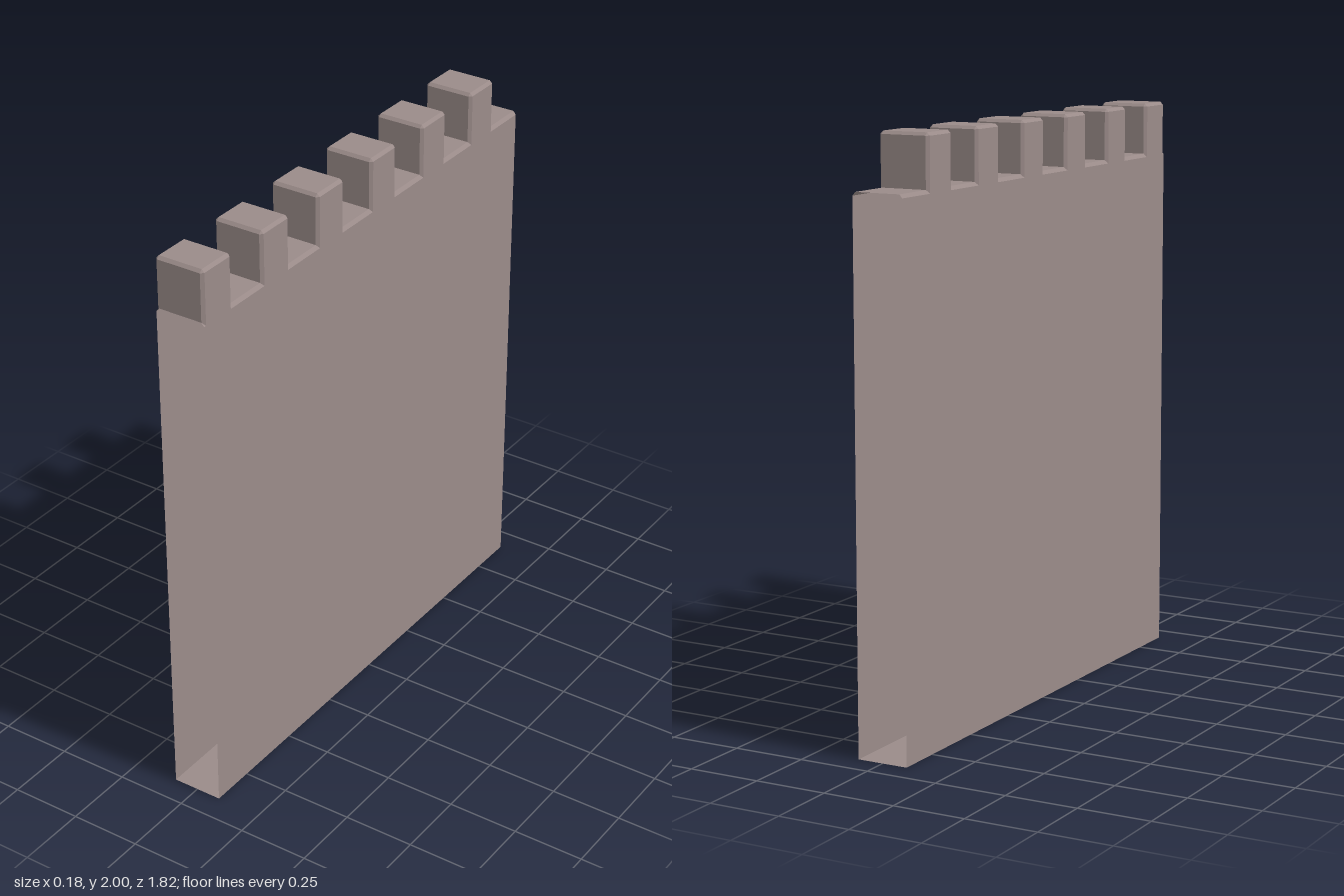
import * as THREE from 'three';

const END = 0.909;      // half length of the wall
const SIDE = 0.09;      // half thickness
const BEVEL = 0.01;
const TOP = 2, FLOOR = 1.822, DROP = 0.012;
const COUNT = 6, PITCH = 0.303, WIDTH = 0.146;

// Crenellated edge from front to back: [z, y] of the crest and of the inset wall edge
function crenellation() {
  const crest = [[END, FLOOR]], edge = [[END, FLOOR - DROP]];
  const add = (z, y, ez, ey) => { crest.push([z, y]); edge.push([ez, ey]); };
  for (let i = 0; i < COUNT; i++) {
    const f = END - i * PITCH, b = f - WIDTH;
    const fi = f - BEVEL, bi = b + BEVEL, ti = TOP - BEVEL;
    add(f, FLOOR, fi, FLOOR - DROP);
    add(f, ti, fi, ti);
    add(fi, TOP, fi, ti);
    add(bi, TOP, bi, ti);
    add(b, ti, bi, ti);
    add(b, FLOOR, bi, FLOOR - DROP);
  }
  add(-END, FLOOR, -END, FLOOR - DROP);
  return { crest, edge };
}

// Bevelled strip that runs over the merlons and gaps
function battlementGeometry({ crest, edge }) {
  const pos = [];
  const rows = crest.map(([z, y], i) => {
    const [ez, ey] = edge[i];
    return [
      [-SIDE, ey, ez], [-SIDE + BEVEL, y, z], [SIDE - BEVEL, y, z], [SIDE, ey, ez],
    ];
  });
  for (let i = 0; i < rows.length - 1; i++) {
    for (let j = 0; j < 3; j++) {
      const a = rows[i][j], b = rows[i][j + 1], c = rows[i + 1][j + 1], d = rows[i + 1][j];
      pos.push(...a, ...b, ...c, ...a, ...c, ...d);
    }
  }
  const geo = new THREE.BufferGeometry();
  geo.setAttribute('position', new THREE.Float32BufferAttribute(pos, 3));
  geo.computeVertexNormals();
  return geo;
}

// Flat wall face with the crenellated top edge, on side s = 1 or -1
function wallGeometry(edge, s) {
  const pts = [[END, 0], ...edge, [-END, 0]].filter(
    (p, i, all) => i === 0 || p[0] !== all[i - 1][0] || p[1] !== all[i - 1][1]);
  const shape = new THREE.Shape(pts.map(([z, y]) => new THREE.Vector2(-s * z, y)));
  return new THREE.ShapeGeometry(shape).rotateY(s * Math.PI / 2).translate(s * SIDE, 0, 0);
}

export function createModel() {
  const group = new THREE.Group();
  group.name = 'castleWall';
  const stone = new THREE.MeshStandardMaterial({
    color: 0x9a8b89, flatShading: true, side: THREE.DoubleSide,
  });
  const add = (name, geo) => {
    const mesh = new THREE.Mesh(geo, stone);
    mesh.name = name;
    group.add(mesh);
  };
  const profile = crenellation();

  // Two wall faces; the ends between them stay open
  add('leftWall', wallGeometry(profile.edge, 1));
  add('rightWall', wallGeometry(profile.edge, -1));
  add('battlements', battlementGeometry(profile));
  add('base', new THREE.PlaneGeometry(2 * SIDE, 2 * END).rotateX(Math.PI / 2));
  return group;
}
